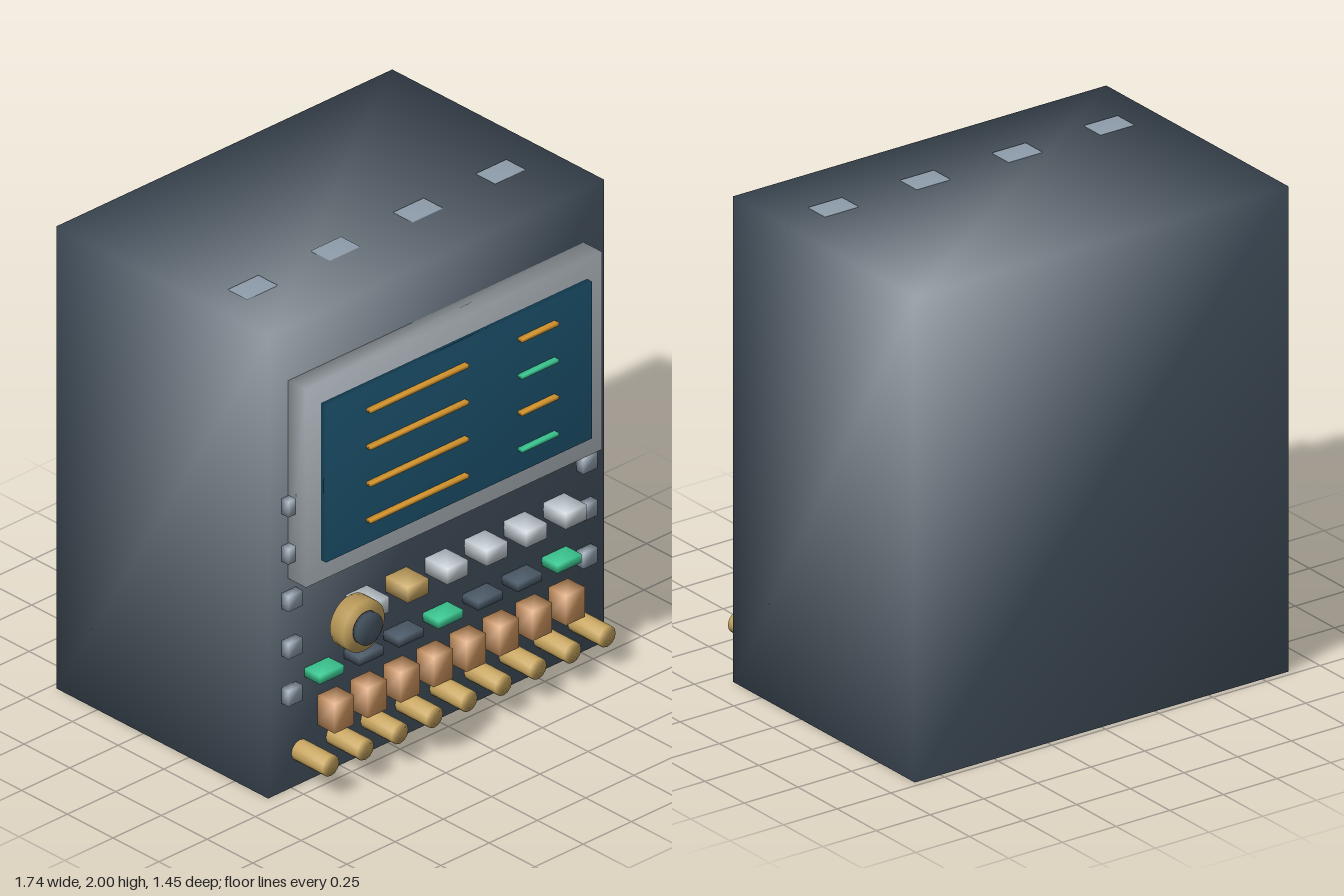
import * as THREE from 'three';
import { mergeVertices } from 'three/addons/utils/BufferGeometryUtils.js';

const paint = (name, color) => {
  const m = new THREE.MeshStandardMaterial({ color });
  m.name = name;
  return m;
};

// Share corner vertices so shading runs smoothly around the edges
function soften(geometry) {
  geometry.deleteAttribute('normal');
  geometry.deleteAttribute('uv');
  geometry.clearGroups();
  const g = mergeVertices(geometry);
  g.computeVertexNormals();
  return g;
}

export function createModel() {
  const root = new THREE.Group();
  root.name = 'controlConsole';

  const slate = paint('slate', 0x4c5b69);
  const silver = paint('silver', 0xc4cdd4);
  const teal = paint('screenTeal', 0x22607f);
  const amber = paint('amber', 0xd9982f);
  const green = paint('green', 0x3ccb94);
  const brass = paint('brass', 0xc7a55f);
  const copper = paint('copper', 0xd0965f);
  const steel = paint('steel', 0x8f9dab);

  const add = (name, geometry, material, x, y, z) => {
    const mesh = new THREE.Mesh(geometry, material);
    mesh.name = name;
    mesh.position.set(x, y, z);
    root.add(mesh);
  };
  // Box centred on x, y and spanning z0 to z1
  const box = (name, material, x, y, w, h, z0, z1) =>
    add(name, soften(new THREE.BoxGeometry(w, h, z1 - z0)), material, x, y, (z0 + z1) / 2);
  // Cylinder pointing forward, spanning z0 to z1
  const rod = (name, material, x, y, r, sides, z0, z1) =>
    add(name, soften(new THREE.CylinderGeometry(r, r, z1 - z0, sides).rotateX(Math.PI / 2)),
      material, x, y, (z0 + z1) / 2);

  const front = 0.433;

  // Cabinet
  box('cabinet', slate, 0, 0.998, 1.74, 1.996, -0.725, front);

  // Screen with its frame and readout lines
  box('screenFrame', silver, 0, 1.338, 1.532, 0.855, front, 0.53);
  box('screen', teal, 0, 1.339, 1.376, 0.678, 0.53, 0.558);
  for (let i = 0; i < 4; i++) {
    const y = 1.579 - i * 0.1587;
    box('longReadout', amber, -0.225, y, 0.51, 0.014, 0.558, 0.582);
    box('shortReadout', i % 2 ? green : amber, 0.4, y, 0.19, 0.014, 0.558, 0.582);
  }

  // Selector knob, standing forward of the panel
  rod('knob', brass, -0.62, 0.754, 0.108, 24, 0.62, 0.692);
  rod('knobCap', slate, -0.62, 0.754, 0.067, 24, 0.702, 0.725);

  // Key row
  for (let i = 0; i < 6; i++)
    box('key', i === 1 ? brass : silver, -0.413 + i * 0.2045, 0.69, 0.108, 0.066, front, 0.555);

  // Indicator row
  for (let i = 0; i < 7; i++)
    box('indicator', i % 3 ? slate : green, -0.62 + i * 0.205, 0.472, 0.126, 0.036, front, 0.518);

  // Copper switch row
  for (let i = 0; i < 8; i++)
    box('switch', copper, -0.602 + i * 0.171, 0.314, 0.1, 0.128, 0.472, 0.566);

  // Round pegs along the bottom
  for (let i = 0; i < 9; i++)
    rod('peg', brass, -0.706 + i * 0.179, 0.147, 0.044, 12, front, 0.602);

  // Clips down both edges of the front
  for (const x of [-0.767, 0.761])
    for (let i = 0; i < 5; i++)
      box('edgeClip', steel, x, 0.42 + i * 0.2045, 0.074, 0.066, front + 0.003, 0.474);

  // Vent plates on the roof
  for (let i = 0; i < 4; i++)
    box('roofVent', steel, -0.657 + i * 0.428, 1.995, 0.155, 0.01, 0.073, 0.176);

  return root;
}
